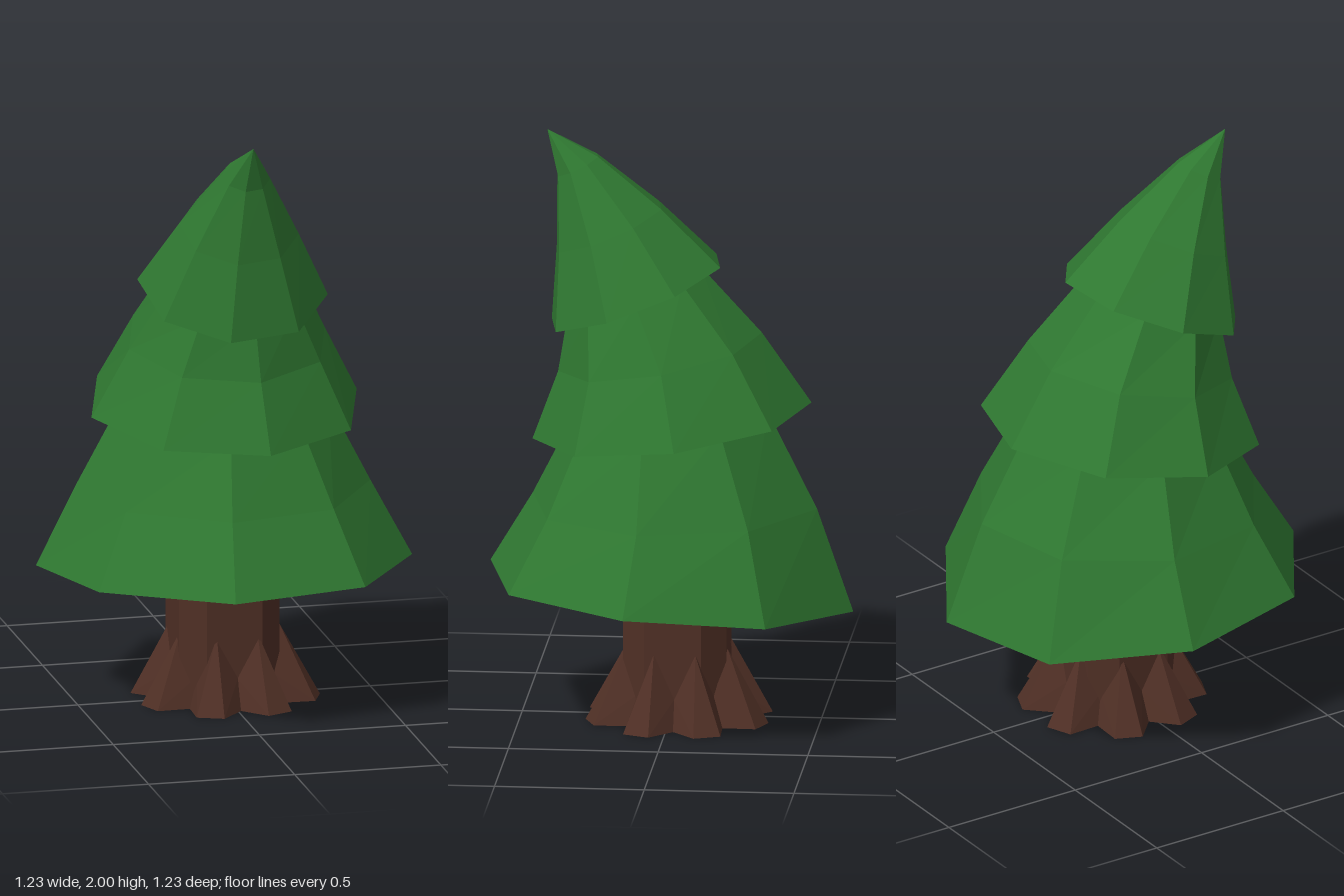
import * as THREE from 'three';

const SIDES = 8;

// Flat-shaded geometry from a list of triangles of Vector3 corners
function facets(tris) {
  const g = new THREE.BufferGeometry().setFromPoints(tris.flat());
  g.computeVertexNormals();
  return g;
}

// Tilted ring of points; tilt > 0 lowers the front, sag drops front and back
function ring({ z, y, r, tilt, sag = 0 }, turn) {
  return Array.from({ length: SIDES }, (_, i) => {
    const a = turn + (i / SIDES) * Math.PI * 2;
    const s = Math.sin(a);
    return new THREE.Vector3(
      r * Math.cos(a),
      y - r * s * Math.sin(tilt) - sag * s * s,
      z + r * s * Math.cos(tilt)
    );
  });
}

// Closed, bent cone lofted through tilted rings
function foliage(sections, turnDegrees) {
  const rings = sections.map((s) => ring(s, THREE.MathUtils.degToRad(turnDegrees)));
  const tris = [];
  const center = (s) => new THREE.Vector3(0, s.y, s.z);
  const base = center(sections[0]);
  const tip = center(sections.at(-1));
  for (let i = 0; i < SIDES; i++) {
    const j = (i + 1) % SIDES;
    tris.push([base, rings[0][i], rings[0][j]]);
    for (let k = 0; k < rings.length - 1; k++) {
      const lo = rings[k], up = rings[k + 1];
      tris.push([lo[j], lo[i], up[i]], [lo[j], up[i], up[j]]);
    }
    tris.push([tip, rings.at(-1)[j], rings.at(-1)[i]]);
  }
  return facets(tris);
}

// Ring of flared roots, each with a pointed top and a blunt foot
function rootFlare() {
  const tris = [];
  const step = (Math.PI * 2) / SIDES;
  const at = (r, y, a) => new THREE.Vector3(r * Math.cos(a), y, r * Math.sin(a));
  for (let i = 0; i < SIDES; i++) {
    const a = (i + 0.5) * step;
    const peak = at(0.182, 0.25, a);
    const footA = at(0.315, 0, a - 0.15), footB = at(0.315, 0, a + 0.15);
    const topA = at(0.18, 0.1, a - step / 2), topB = at(0.18, 0.1, a + step / 2);
    const lowA = at(0.225, 0, a - step / 2), lowB = at(0.225, 0, a + step / 2);
    tris.push(
      [peak, footB, footA],
      [peak, footA, topA], [topA, footA, lowA],
      [peak, topB, footB], [topB, lowB, footB]
    );
  }
  return facets(tris);
}

export function createModel() {
  const green = new THREE.MeshStandardMaterial({ color: 0x2f7831, flatShading: true });
  green.name = 'needle green';
  const brown = new THREE.MeshStandardMaterial({ color: 0x4f2f25, flatShading: true, side: THREE.DoubleSide });
  brown.name = 'bark brown';

  const tree = new THREE.Group();
  tree.name = 'bentPine';
  const add = (name, geometry, material) => {
    const mesh = new THREE.Mesh(geometry, material);
    mesh.name = name;
    tree.add(mesh);
    return mesh;
  };

  // Three overlapping tiers leaning further forward as they rise
  add('lowerFoliage', foliage([
    { z: 0, y: 0.47, r: 0.627, tilt: -0.076, sag: 0.028 },
    { z: -0.01, y: 0.735, r: 0.49, tilt: 0.01 },
    { z: 0.01, y: 1.02, r: 0.345, tilt: 0.12 },
    { z: 0.06, y: 1.25, r: 0.22, tilt: 0.22 },
  ], 10), green);
  add('middleFoliage', foliage([
    { z: 0, y: 1.01, r: 0.468, tilt: 0.13 },
    { z: 0.04, y: 1.245, r: 0.345, tilt: 0.19 },
    { z: 0.125, y: 1.455, r: 0.235, tilt: 0.34 },
    { z: 0.19, y: 1.59, r: 0.15, tilt: 0.42 },
  ], -6), green);
  add('topFoliage', foliage([
    { z: 0.12, y: 1.445, r: 0.318, tilt: 0.37 },
    { z: 0.21, y: 1.67, r: 0.2, tilt: 0.4 },
    { z: 0.315, y: 1.88, r: 0.08, tilt: 0.46 },
    { z: 0.415, y: 2, r: 0.001, tilt: 0.5 },
  ], 13.6), green);

  // Hollow trunk with chamfered corners
  const w = 0.172, c = 0.095;
  const outline = [[c, w], [w, c], [w, -c], [c, -w], [-c, -w], [-w, -c], [-w, c], [-c, w]];
  const walls = [];
  outline.forEach(([x, z], i) => {
    const [x2, z2] = outline[(i + 1) % outline.length];
    const a = new THREE.Vector3(x, 0, z), b = new THREE.Vector3(x2, 0, z2);
    const a2 = new THREE.Vector3(x, 0.52, z), b2 = new THREE.Vector3(x2, 0.52, z2);
    walls.push([a, b, b2], [a, b2, a2]);
  });
  add('trunk', facets(walls), brown).position.z = -0.018;
  add('roots', rootFlare(), brown).position.set(0.01, 0, -0.025);

  return tree;
}
